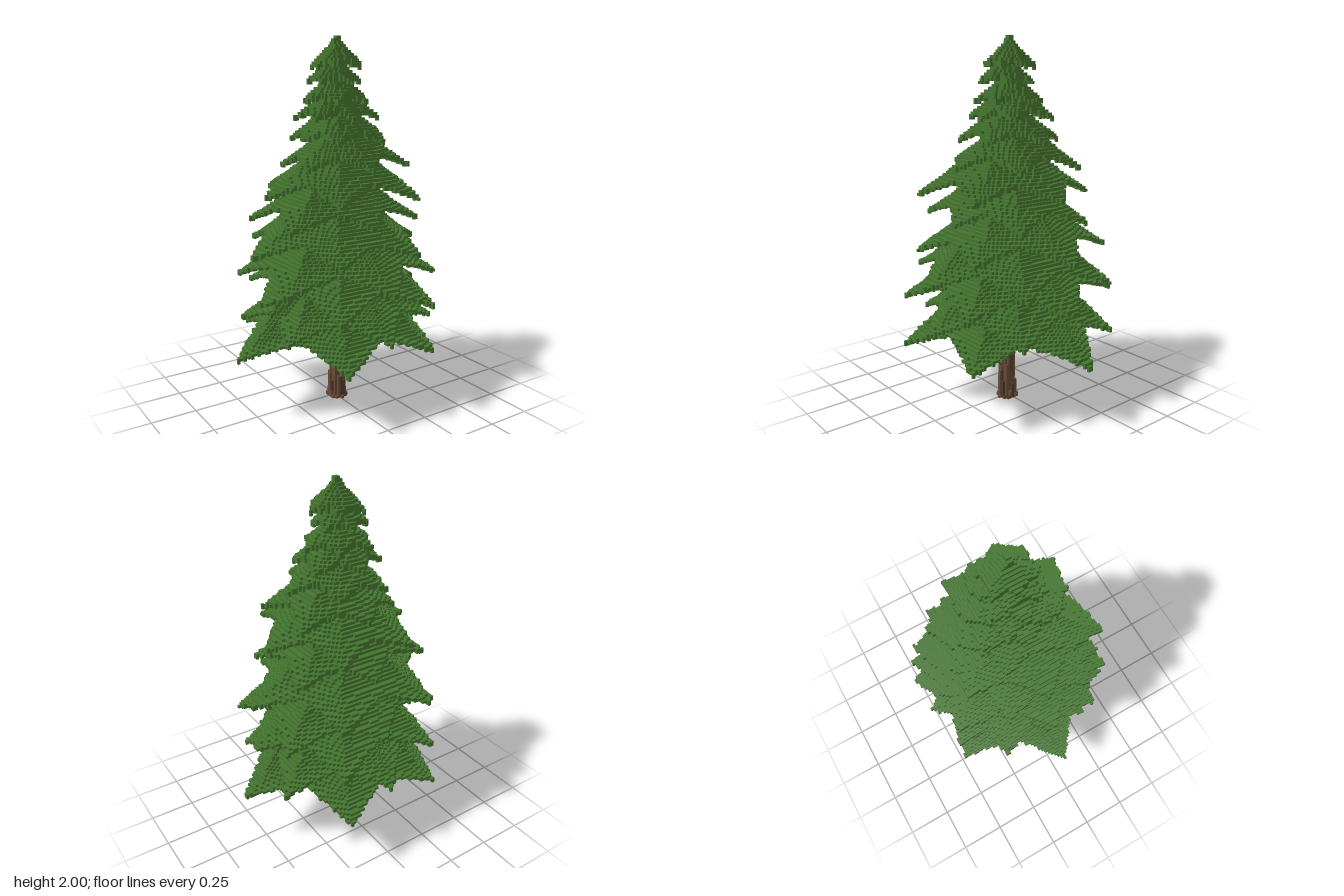
import * as THREE from 'three';

const V = 2 / 138;              // voxel edge
const SIZE = [88, 138, 88];     // grid cells along x, y, z
const HALF = 44;

// Branch tiers: tip height, angle of first tip (degrees from +x towards +z), six tip radii
const TIERS = [
  [0.35, -3, 0.62, 0.57, 0.57, 0.62, 0.58, 0.60],
  [0.465, 31, 0.53, 0.53, 0.52, 0.52, 0.53, 0.58],
  [0.61, 0, 0.54, 0.57, 0.57, 0.46, 0.56, 0.58],
  [0.72, 30, 0.55, 0.55, 0.55, 0.54, 0.45, 0.57],
  [0.865, 0, 0.53, 0.49, 0.49, 0.51, 0.54, 0.54],
  [1.03, 30, 0.44, 0.36, 0.49, 0.46, 0.35, 0.44],
  [1.17, 0, 0.43, 0.47, 0.48, 0.42, 0.42, 0.43],
  [1.32, 30, 0.38, 0.34, 0.31, 0.29, 0.29, 0.39],
  [1.45, 0, 0.30, 0.28, 0.27, 0.21, 0.27, 0.27],
  [1.565, 30, 0.23, 0.19, 0.22, 0.21, 0.23, 0.25],
  [1.65, 0, 0.19, 0.17, 0.17, 0.18, 0.18, 0.18],
  [1.75, 30, 0.13, 0.15, 0.16, 0.15, 0.13, 0.13],
  [1.83, 0, 0.15, 0.14, 0.13, 0.11, 0.14, 0.14],
];

// Repeatable noise in 0..1
function hash(a, b, c) {
  const s = Math.sin(a * 12.9898 + b * 78.233 + c * 37.719) * 43758.5453;
  return s - Math.floor(s);
}

// Distance from the axis to the straight edge between a tip and the next valley
function starRadius(tip, valley, angle) {
  const w = Math.PI / 6;
  return tip * valley * Math.sin(w) / (tip * Math.sin(angle) + valley * Math.sin(w - angle));
}

// Height range of a drooping six-pointed tier above one ground point, or null
function tierSpan(tier, x, z, ragged) {
  const [y, phase, ...radii] = tier;
  const r = Math.hypot(x, z);
  const turn = (Math.atan2(z, x) * 180 / Math.PI - phase + 720) % 360 / 60;
  const k = Math.floor(turn) % 6, f = turn - Math.floor(turn);
  const a = radii[k], b = radii[(k + 1) % 6];
  const R = a + (b - a) * f;
  const off = Math.min(f, 1 - f);        // 0 at a tip, 0.5 at a valley
  const edge = starRadius(f < 0.5 ? a : b, 0.35 * (a + b), off * Math.PI / 3);
  if (r > edge + ragged) return null;
  // The top droops from the axis, steeper inwards on the lower tiers
  const slope = 0.5 + 0.6 * (y / 2) ** 4;
  const sweep = 3.4 - 2.6 * Math.min(1, y);
  const top = y + 0.025 + slope * Math.max(0, R - r) + sweep * Math.max(0, edge - r) ** 2;
  // The underside arches up towards the trunk and between the tips
  const q = Math.min(1, r / R);
  return [y + 0.24 * R * (1 - q * q) + 0.16 * R * off * q, top];
}

// Mesh the outer faces of one kind of voxel, joining neighbours in rows
function voxelGeometry(get, kind) {
  const pos = [], nor = [], idx = [];
  for (let d = 0; d < 3; d++) {
    const u = d === 0 ? 2 : 0, v = 3 - d - u;
    for (const s of [1, -1]) {
      const normal = [0, 0, 0];
      normal[d] = s;
      const open = (c) => get(c) === kind && !get(c.map((n, i) => n + normal[i]));
      const c = [0, 0, 0];
      for (c[d] = 0; c[d] < SIZE[d]; c[d]++)
        for (c[v] = 0; c[v] < SIZE[v]; c[v]++)
          for (c[u] = 0; c[u] < SIZE[u]; c[u]++) {
            if (!open(c)) continue;
            const start = c[u];
            while (c[u] < SIZE[u] && open(c)) c[u]++;
            const base = pos.length / 3;
            for (const [du, dv] of [[0, 0], [1, 0], [1, 1], [0, 1]]) {
              const p = [0, 0, 0];
              p[d] = c[d] + (s > 0 ? 1 : 0);
              p[u] = du ? c[u] : start;
              p[v] = c[v] + dv;
              pos.push((p[0] - HALF) * V, p[1] * V, (p[2] - HALF) * V);
              nor.push(...normal);
            }
            const order = s === (d === 2 ? 1 : -1) ? [0, 1, 2, 0, 2, 3] : [0, 2, 1, 0, 3, 2];
            idx.push(...order.map((n) => base + n));
          }
    }
  }
  const g = new THREE.BufferGeometry();
  g.setAttribute('position', new THREE.Float32BufferAttribute(pos, 3));
  g.setAttribute('normal', new THREE.Float32BufferAttribute(nor, 3));
  g.setIndex(idx);
  return g;
}

export function createModel() {
  const [nx, ny, nz] = SIZE;
  const cells = new Uint8Array(nx * ny * nz);
  const at = (i, j, k) => (j * nz + k) * nx + i;
  const get = ([i, j, k]) =>
    i < 0 || j < 0 || k < 0 || i >= nx || j >= ny || k >= nz ? 0 : cells[at(i, j, k)];

  for (let i = 0; i < nx; i++)
    for (let k = 0; k < nz; k++) {
      const x = (i - HALF + 0.5) * V, z = (k - HALF + 0.5) * V;
      // Trunk, tapering upwards with a flared foot and streaked bark
      const t = Math.hypot(x - 0.006, z - 0.01);
      for (let j = 0; j < 36; j++) {
        const y = (j + 0.5) * V;
        const radius = 0.048 - 0.04 * y + (j < 1 ? 0.008 : 0);
        if (t < radius) cells[at(i, j, k)] = hash(i, k, Math.floor((j + i * 3 + k * 5) / 9)) < 0.35 ? 3 : 2;
      }
      // Foliage tiers with slightly ragged edges
      TIERS.forEach((tier, n) => {
        const span = tierSpan(tier, x - 0.004, z, 0.013 - hash(i, k, n) * 0.01);
        if (!span) return;
        const from = Math.round(span[0] / V);
        const to = Math.min(ny, Math.max(from + 1, Math.round(span[1] / V)));
        for (let j = from; j < to; j++) cells[at(i, j, k)] = 1;
      });
      // Solid heart of the crown
      for (let j = 35; j < ny; j++)
        if (Math.hypot(x - 0.008, z) < 0.015 + 0.2 * (2 - (j + 0.5) * V)) cells[at(i, j, k)] = 1;
    }

  const group = new THREE.Group();
  group.name = 'firTree';
  const parts = [
    ['foliage', 'needleGreen', 0x44742f],
    ['trunk', 'barkBrown', 0x674a35],
    ['barkStreaks', 'darkBark', 0x4f3827],
  ];
  parts.forEach(([name, colourName, color], n) => {
    const material = new THREE.MeshStandardMaterial({ color });
    material.name = colourName;
    const mesh = new THREE.Mesh(voxelGeometry(get, n + 1), material);
    mesh.name = name;
    group.add(mesh);
  });
  return group;
}
